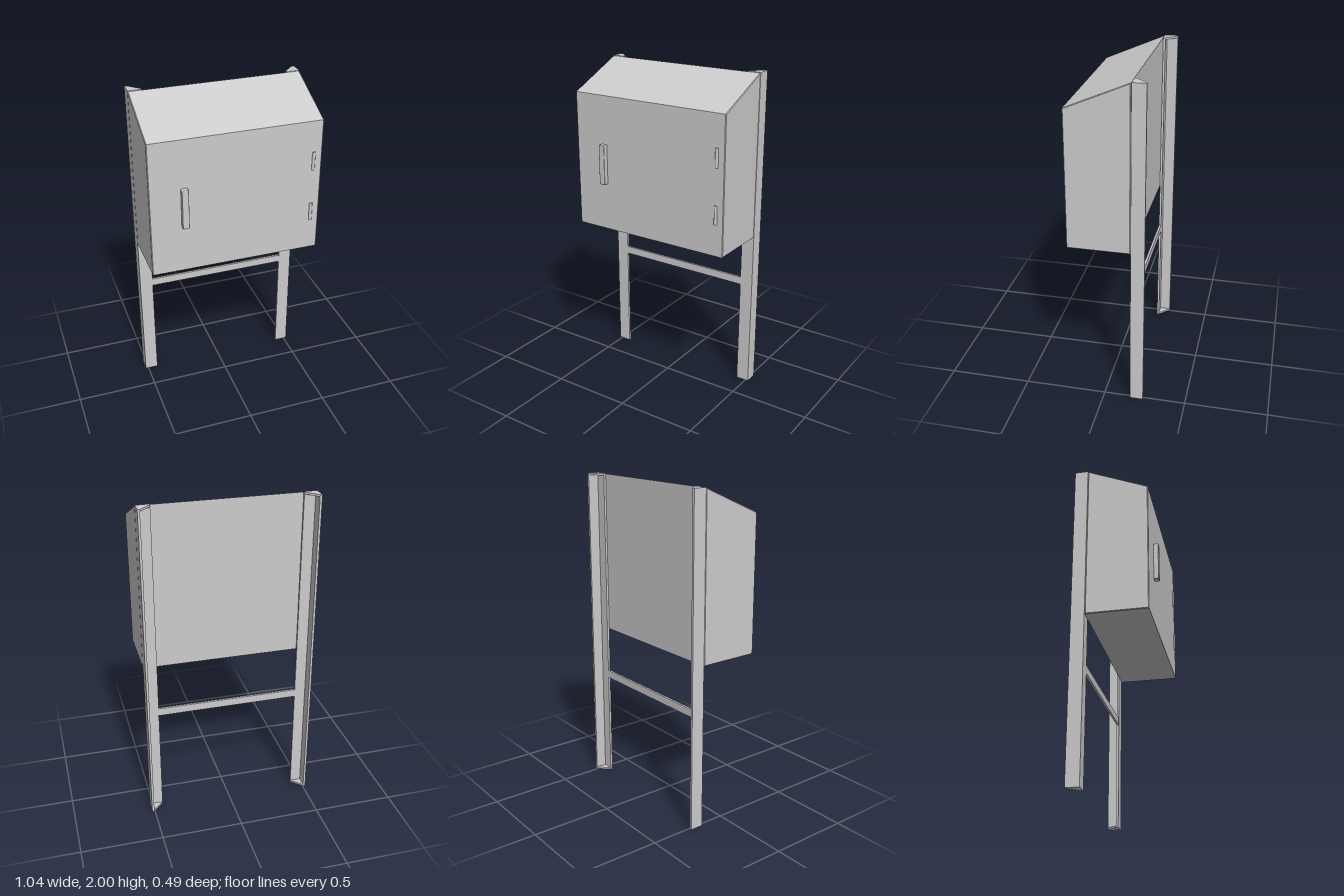
import * as THREE from 'three';
import { RoundedBoxGeometry } from 'three/addons/geometries/RoundedBoxGeometry.js';

const material = new THREE.MeshStandardMaterial({ color: 0xcccccc, flatShading: true });
const smooth = new THREE.MeshStandardMaterial({ color: 0xcccccc });

function add(parent, name, geometry, x = 0, y = 0, z = 0, mat = material) {
  const mesh = new THREE.Mesh(geometry, mat);
  mesh.name = name;
  mesh.position.set(x, y, z);
  parent.add(mesh);
  return mesh;
}

// Closed outline from [x, y] pairs
const outline = (points) => new THREE.Shape(points.map(([x, y]) => new THREE.Vector2(x, y)));

// Extrude a plan outline (x, -z) upwards by a height
function upright(points, height) {
  const geometry = new THREE.ExtrudeGeometry(outline(points), { depth: height, bevelEnabled: false });
  return geometry.rotateX(-Math.PI / 2);
}

export function createModel() {
  const model = new THREE.Group();
  model.name = 'cabinetOnStand';

  // Cabinet: side profile with sloping roof, extruded across the width
  const b = 0.004, width = 1.036;
  const profile = outline([
    [0.16 - b, 1.005 + b], [0.16 - b, 2 - 2 * b],
    [-0.212 + b, 1.838 - b], [-0.212 + b, 1.005 + b],
  ]);
  const cabinet = new THREE.ExtrudeGeometry(profile, {
    depth: width - 2 * b, bevelSize: b, bevelThickness: b, bevelSegments: 1,
  });
  cabinet.translate(0, 0, -width / 2 + b).rotateY(Math.PI / 2);
  add(model, 'cabinet', cabinet);

  // Angle-section legs, open to the inside back, closed by end plates
  const t = 0.014, xo = 0.518, xi = 0.437, front = 0.162, back = 0.243;
  for (const side of [-1, 1]) {
    const leg = new THREE.Group();
    leg.name = side > 0 ? 'leftLeg' : 'rightLeg';
    const mirror = (points) => points.map(([x, y]) => [x * side, y]);
    const angle = mirror([
      [xi, front], [xo, front], [xo, back], [xo - t, back],
      [xo - t, front + t], [xi, front + t],
    ]);
    const plate = mirror([
      [xi, front], [xo, front], [xo, back], [xo - t, back], [xi, front + t],
    ]);
    add(leg, 'angleBar', upright(angle, 1.976), 0, 0.012, 0);
    for (const y of [0, 1.988]) add(leg, 'endPlate', upright(plate, 0.012), 0, y, 0);
    model.add(leg);
  }

  // Flat brace between the legs
  add(model, 'crossbar', new THREE.BoxGeometry(2 * xi + 0.01, 0.048, 0.014), 0, 0.696, -0.17);

  // Door handle
  add(model, 'handle', new RoundedBoxGeometry(0.04, 0.246, 0.036, 2, 0.005), -0.314, 1.419, 0.224, smooth);

  // Hinge barrels
  for (const y of [1.255, 1.588]) {
    add(model, 'hinge', new THREE.CylinderGeometry(0.01, 0.01, 0.114, 16), 0.467, y, 0.211, smooth);
  }
  return model;
}
